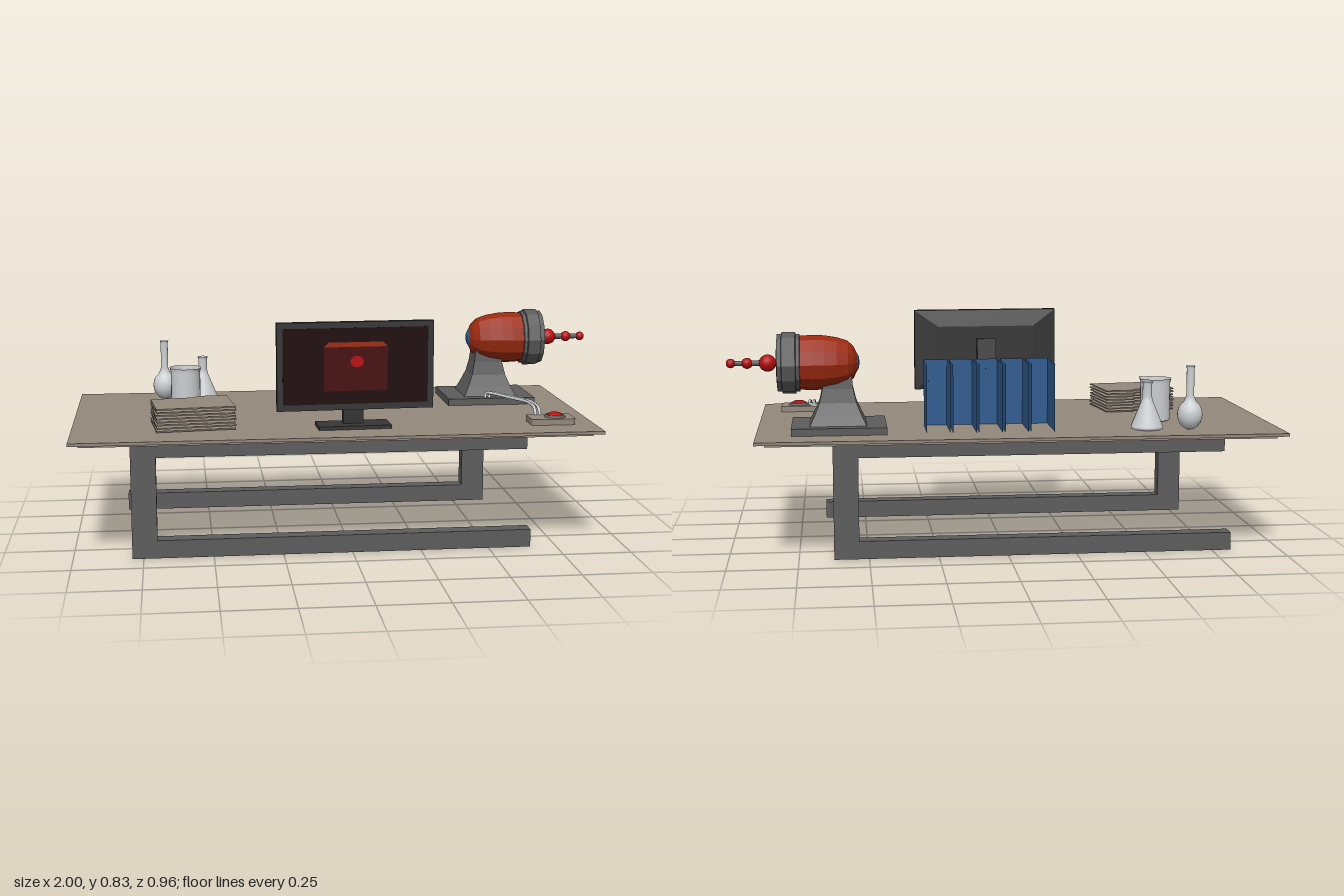
import * as THREE from 'three';

const mat = (name, color, side = THREE.FrontSide) => {
  const m = new THREE.MeshStandardMaterial({ color, side });
  m.name = name;
  return m;
};

export function createModel() {
  const wood = mat('taupe', 0x93887b);
  const metal = mat('grey metal', 0x5c5c5c);
  const black = mat('dark plastic', 0x363636);
  const dark = mat('screen dark red', 0x1e0809);
  const panelRed = mat('screen red', 0x470c0c);
  const red = mat('bright red', 0xb80e10);
  const rust = mat('rust red', 0x9c2a10);
  const blue = mat('folder blue', 0x2f5b8f, THREE.DoubleSide);
  const glass = mat('pale grey', 0xcdd0d3, THREE.DoubleSide);

  const model = new THREE.Group();
  const group = (name, parent = model) => {
    const g = new THREE.Group();
    g.name = name;
    parent.add(g);
    return g;
  };
  const add = (name, geo, material, parent = model, x = 0, y = 0, z = 0) => {
    const m = new THREE.Mesh(geo, material);
    m.name = name;
    m.position.set(x, y, z);
    parent.add(m);
    return m;
  };
  // box given by its lower and upper limits on each axis
  const box = (name, material, parent, x0, x1, y0, y1, z0, z1) =>
    add(name, new THREE.BoxGeometry(x1 - x0, y1 - y0, z1 - z0), material, parent,
      (x0 + x1) / 2, (y0 + y1) / 2, (z0 + z1) / 2);
  const flat = (geo) => {
    const g = geo.index ? geo.toNonIndexed() : geo;
    g.computeVertexNormals();
    return g;
  };
  const lathe = (pts, sides) =>
    new THREE.LatheGeometry(pts.map(([r, y]) => new THREE.Vector2(r, y)), sides);

  // table top and its inset slab
  const table = group('table');
  box('tableTop', wood, table, -1, 0.895, 0.434, 0.445, -0.485, 0.48);
  box('tableUnderside', wood, table, -0.965, 0.86, 0.423, 0.434, -0.45, 0.45);

  // two C-shaped legs, open at opposite ends
  const frontLeg = group('frontLeg', table);
  box('bottomBar', metal, frontLeg, -0.79, 0.655, 0, 0.065, 0.325, 0.385);
  box('topBar', metal, frontLeg, -0.79, 0.635, 0.367, 0.423, 0.325, 0.385);
  box('post', metal, frontLeg, -0.79, -0.7, 0.065, 0.367, 0.325, 0.385);
  const backLeg = group('backLeg', table);
  box('bottomBar', metal, backLeg, -0.82, 0.625, 0, 0.065, -0.38, -0.32);
  box('topBar', metal, backLeg, -0.79, 0.625, 0.367, 0.423, -0.38, -0.32);
  box('post', metal, backLeg, 0.535, 0.625, 0.065, 0.367, -0.38, -0.32);

  // monitor, turned slightly; local z = 0 is the front of the bezel
  const monitor = group('monitor');
  monitor.position.set(0.014, 0, 0.349);
  monitor.rotation.y = 0.045;
  box('bezel', black, monitor, -0.283, 0.283, 0.518, 0.834, -0.024, 0);
  const bulge = new THREE.BoxGeometry(0.56, 0.31, 0.022);
  const bp = bulge.attributes.position;
  for (let i = 0; i < bp.count; i++) {
    if (bp.getZ(i) < 0) bp.setXY(i, bp.getX(i) * 0.68, bp.getY(i) * 0.6);
  }
  add('backCover', flat(bulge), black, monitor, 0, 0.676, -0.035);
  box('screen', dark, monitor, -0.262, 0.262, 0.54, 0.813, -0.001, 0.001);
  box('screenPanel', panelRed, monitor, -0.115, 0.115, 0.587, 0.745, 0, 0.002);
  const strip = new THREE.Shape([[-0.115, 0.745], [0.115, 0.745], [0.098, 0.762], [-0.098, 0.762]]
    .map((p) => new THREE.Vector2(...p)));
  add('screenStrip', new THREE.ShapeGeometry(strip), rust, monitor, 0, 0, 0.002);
  const spot = add('screenSpot', new THREE.CircleGeometry(0.024, 16), red, monitor, 0.004, 0.692, 0.003);
  spot.scale.y = 0.85;
  const neck = new THREE.Shape([[-0.052, 0.457], [-0.075, 0.457], [-0.073, 0.63], [-0.058, 0.72], [-0.04, 0.72], [-0.04, 0.6]]
    .map(([z, y]) => new THREE.Vector2(-z, y)));
  const neckGeo = new THREE.ExtrudeGeometry(neck, { depth: 0.075, bevelEnabled: false });
  neckGeo.rotateY(Math.PI / 2);
  add('neck', neckGeo, black, monitor, -0.0375, 0, 0);
  box('foot', black, monitor, -0.132, 0.132, 0.445, 0.458, -0.112, 0.0);

  // row of open binders made of thin covers
  const binders = group('binders');
  for (let i = 0; i < 5; i++) {
    const b = group('binder', binders);
    b.position.set(-0.13 + i * 0.094, 0.567, -0.247);
    const w = 0.084, h = 0.244, d = 0.196;
    add('spine', new THREE.PlaneGeometry(w, h), blue, b, 0, 0, d / 2);
    add('label', new THREE.BoxGeometry(0.05, 0.05, 0.003), blue, b, 0, 0.06, d / 2 + 0.001);
    for (const s of [-1, 1]) {
      const cover = add('cover', new THREE.PlaneGeometry(d, h), blue, b, s * w / 2, 0, 0);
      cover.rotation.y = s * Math.PI / 2;
    }
  }

  // ray device: plate, flared pedestal, body along +x
  const ray = group('rayDevice');
  box('basePlate', metal, ray, 0.43, 0.77, 0.445, 0.471, -0.36, -0.068);
  const q = Math.SQRT2;
  const stand = lathe([[0.102, 0.47], [0.085, 0.505], [0.066, 0.55], [0.055, 0.6], [0.05, 0.65]].map(([r, y]) => [r * q, y]), 4);
  stand.rotateY(Math.PI / 4);
  add('pedestal', flat(stand), metal, ray, 0.603, 0, -0.213);
  const axis = group('rayHead', ray);
  axis.position.set(0, 0.69, -0.213);
  axis.rotation.z = -Math.PI / 2;
  add('rearCap', flat(lathe([[0, 0.523], [0.02, 0.525], [0.034, 0.533]], 12)), blue, axis);
  add('body', flat(lathe([[0.034, 0.533], [0.058, 0.545], [0.078, 0.565], [0.091, 0.605], [0.098, 0.65], [0.1, 0.69], [0.097, 0.745]], 12)), rust, axis);
  add('collar', flat(lathe([[0.09, 0.735], [0.104, 0.737], [0.104, 0.75], [0.111, 0.752], [0.111, 0.8],
    [0.104, 0.802], [0.104, 0.817], [0.07, 0.82], [0.065, 0.795], [0.03, 0.775], [0, 0.775]], 12)), metal, axis);
  add('rod', new THREE.CylinderGeometry(0.009, 0.013, 0.21, 10), metal, axis, 0, 0.875, 0);
  for (const [x, r] of [[0.852, 0.031], [0.925, 0.02], [0.983, 0.017]]) {
    add('rodBall', new THREE.SphereGeometry(r, 16, 12), red, axis, 0, x, 0);
  }

  // twin cable to the push button
  for (const s of [-1, 1]) {
    const o = s * 0.008;
    const pts = [[0.585, 0.47, -0.085], [0.59, 0.488, -0.09], [0.6, 0.492, -0.07], [0.65, 0.492, 0.025],
      [0.695, 0.492, 0.11], [0.702, 0.492, 0.14], [0.702, 0.49, 0.235], [0.702, 0.478, 0.255], [0.702, 0.46, 0.26]];
    const path = new THREE.CatmullRomCurve3(pts.map(([x, y, z]) => new THREE.Vector3(x + o, y, z)));
    add('cable', new THREE.TubeGeometry(path, 40, 0.006, 8), glass);
  }
  const button = group('pushButton');
  const roundRect = (w, d, r) => {
    const s = new THREE.Shape();
    s.absarc(w / 2 - r, d / 2 - r, r, 0, Math.PI / 2);
    s.absarc(r - w / 2, d / 2 - r, r, Math.PI / 2, Math.PI);
    s.absarc(r - w / 2, r - d / 2, r, Math.PI, Math.PI * 1.5);
    s.absarc(w / 2 - r, r - d / 2, r, Math.PI * 1.5, Math.PI * 2);
    return s;
  };
  const slab = (shape, h) => new THREE.ExtrudeGeometry(shape, { depth: h, bevelEnabled: false, curveSegments: 4 }).rotateX(-Math.PI / 2);
  add('buttonBox', slab(roundRect(0.164, 0.106, 0.015), 0.022), wood, button, 0.741, 0.445, 0.298);
  add('buttonRim', new THREE.CylinderGeometry(0.032, 0.04, 0.008, 20), metal, button, 0.756, 0.471, 0.298);
  const dome = add('buttonDome', new THREE.SphereGeometry(0.028, 20, 8, 0, Math.PI * 2, 0, Math.PI / 2), red, button, 0.756, 0.473, 0.298);
  dome.scale.y = 0.4;

  // stack of tabbed folders
  const folders = group('folderStack');
  const outline = new THREE.Shape([[-0.154, 0.076], [0.006, 0.097], [0.017, 0.124], [0.124, 0.135], [0.15, -0.095], [-0.133, -0.127]]
    .map((p) => new THREE.Vector2(...p)));
  for (let i = 0; i < 8; i++) {
    const f = add('folder', slab(outline, 0.005), wood, folders, -0.562, 0.448 + i * 0.0113, 0.215);
    f.rotation.y = i === 7 ? 0 : Math.sin(i * 2.3) * 0.025;
  }

  // laboratory glassware
  const ware = group('glassware');
  const beaker = lathe([[0, 0.447], [0.05, 0.447], [0.056, 0.453], [0.056, 0.59], [0.06, 0.606]], 24);
  const kp = beaker.attributes.position;
  for (let i = 0; i < kp.count; i++) {
    // pull the rim out into a spout
    const x = kp.getX(i), z = kp.getZ(i);
    if (kp.getY(i) > 0.6 && Math.abs(Math.atan2(z, x) - Math.PI / 4) < 0.2) kp.setXYZ(i, x * 1.22, 0.608, z * 1.22);
  }
  beaker.computeVertexNormals();
  add('beaker', beaker, glass, ware, -0.585, 0, -0.125);
  add('conicalFlask', lathe([[0, 0.445], [0.056, 0.445], [0.059, 0.455], [0.02, 0.55], [0.017, 0.565], [0.017, 0.61], [0.021, 0.617]], 20),
    glass, ware, -0.515, 0, -0.315);
  const bulb = [[0, 0.445]];
  for (let i = 1; i < 9; i++) {
    const a = (i / 9.6) * Math.PI;
    bulb.push([Math.sin(a) * 0.046, 0.5 - Math.cos(a) * 0.055]);
  }
  bulb.push([0.014, 0.57], [0.014, 0.668], [0.017, 0.677]);
  add('roundFlask', lathe(bulb, 20), glass, ware, -0.665, 0, -0.352);

  return model;
}
